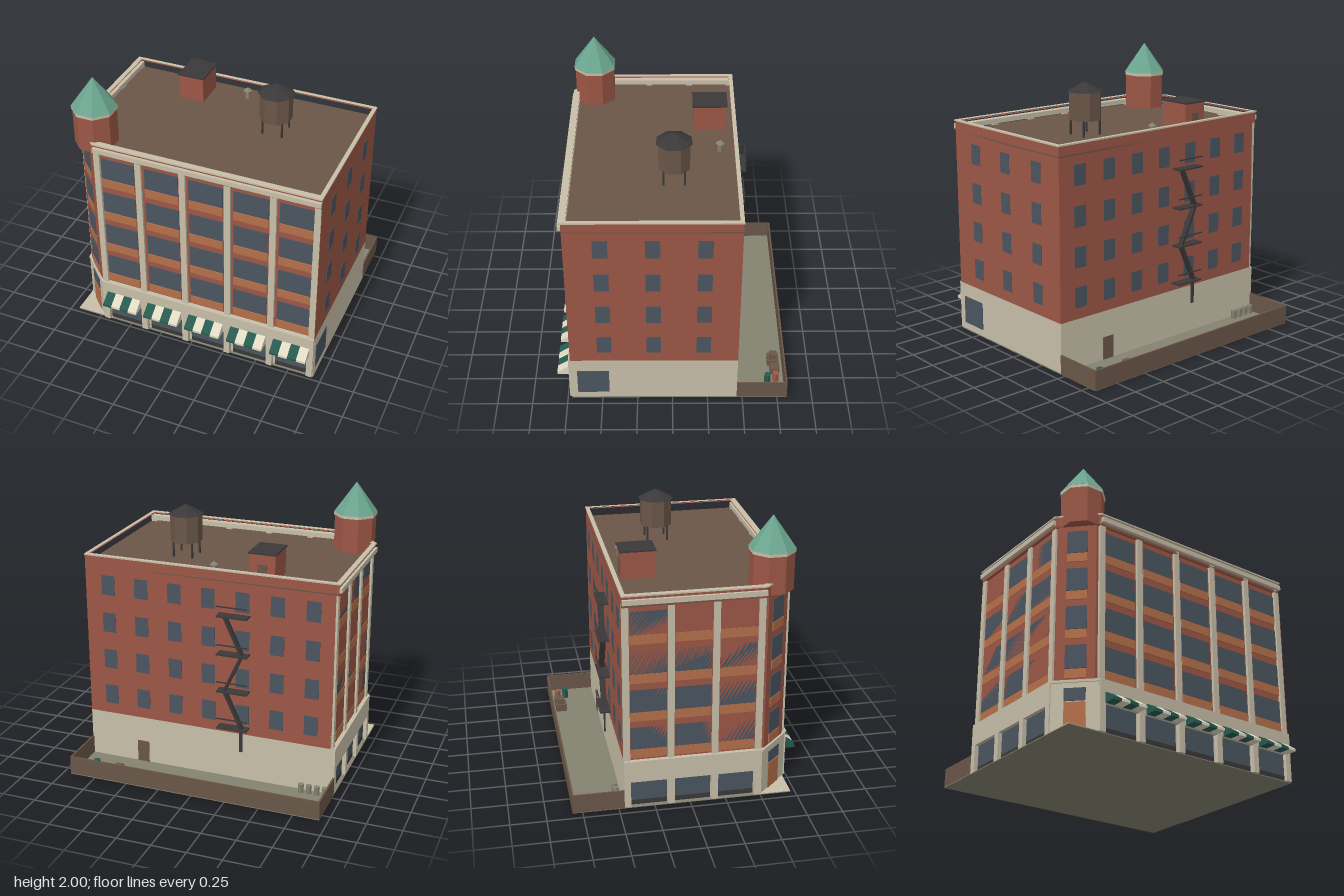
import * as THREE from 'three';

const mat = (name, color) => {
  const m = new THREE.MeshStandardMaterial({ color });
  m.name = name;
  return m;
};

export function createModel() {
  const brick = mat('brick', 0x9c5746), stone = mat('limestone', 0xc8bfa9);
  const terracotta = mat('terracotta', 0xb5704a), glass = mat('window slate', 0x4b5560);
  const brown = mat('brown', 0x6a5648), iron = mat('dark iron', 0x3a3838);
  const copper = mat('copper green', 0x6ba58f), green = mat('awning green', 0x27594e);
  const cream = mat('awning cream', 0xdfd8c2), grey = mat('yard grey', 0x84826f);

  const model = new THREE.Group();
  model.name = 'cornerBuilding';

  const group = (name, parent = model) => {
    const g = new THREE.Group();
    g.name = name;
    parent.add(g);
    return g;
  };
  const add = (parent, name, geo, material, x = 0, y = 0, z = 0) => {
    const m = new THREE.Mesh(geo, material);
    m.name = name;
    m.position.set(x, y, z);
    parent.add(m);
    return m;
  };
  // Box given by its extents
  const box = (parent, name, material, x0, x1, y0, y1, z0, z1) =>
    add(parent, name, new THREE.BoxGeometry(x1 - x0, y1 - y0, z1 - z0), material,
      (x0 + x1) / 2, (y0 + y1) / 2, (z0 + z1) / 2);
  // Faceted drum or cone with flats facing the axes
  const drum = (parent, name, material, rTop, rBottom, y0, y1, x, z, sides = 8) => {
    const g = new THREE.CylinderGeometry(rTop, rBottom, y1 - y0, sides).rotateY(Math.PI / sides).toNonIndexed();
    g.computeVertexNormals();
    return add(parent, name, g, material, x, (y0 + y1) / 2, z);
  };
  // Vertical prism over an (x, z) outline, optionally hollow
  const flip = pts => pts.map(([x, z]) => new THREE.Vector2(x, -z));
  const prism = (parent, name, material, pts, y0, y1, hole) => {
    const s = new THREE.Shape(flip(pts));
    if (hole) s.holes.push(new THREE.Path(flip(hole)));
    const g = new THREE.ExtrudeGeometry(s, { depth: y1 - y0, bevelEnabled: false }).rotateX(-Math.PI / 2);
    return add(parent, name, g, material, 0, y0, 0);
  };

  const floors = [0.44, 0.72, 1.002, 1.285];
  const roofY = 1.5;

  // Ground slab and pavement at the cut corner
  box(model, 'groundSlab', grey, -0.94, 0.94, 0, 0.006, -0.82, 0.72);
  prism(model, 'cornerPavement', stone, [[-0.94, 0.45], [-0.65, 0.717], [-0.94, 0.717]], 0.006, 0.01);

  // Main body: stone ground floor, brick floors above, street sides recessed behind the piers
  const core = [[-0.91, -0.46], [0.935, -0.46], [0.935, 0.72], [0.93, 0.72], [0.93, 0.7], [-0.73, 0.7], [-0.91, 0.52]];
  const outer = [[-0.93, -0.46], [0.935, -0.46], [0.935, 0.72], [-0.71, 0.72], [-0.93, 0.5]];
  const inner = [[-0.905, -0.435], [0.91, -0.435], [0.91, 0.69], [-0.7, 0.69], [-0.905, 0.485]];
  const rim = [[-0.94, -0.464], [0.938, -0.464], [0.938, 0.735], [-0.71, 0.735], [-0.94, 0.505]];
  prism(model, 'groundFloor', stone, core, 0.006, 0.36);
  prism(model, 'brickBody', brick, core, 0.36, 1.49);
  prism(model, 'roofDeck', brown, outer, 1.49, roofY);
  prism(model, 'parapet', brick, outer, 1.488, 1.565, inner);
  prism(model, 'coping', stone, rim, 1.565, 1.575, inner);

  // Street facade; local z = 0 is the pier face, local x runs along the wall
  const facade = (name, piers, bays, from, to) => {
    const f = group(name);
    for (const [a, b] of piers) {
      box(f, 'pier', stone, a, b, 0.36, 1.51, -0.03, 0);
      box(f, 'groundPier', stone, a, b, 0.006, 0.36, -0.03, 0.015);
    }
    box(f, 'lintelBand', stone, from, to, 0.2, 0.36, -0.03, 0.015);
    box(f, 'cornice', stone, from, to, 1.51, 1.545, -0.03, 0.024);
    for (const c of bays) {
      const a = c - 0.125, b = c + 0.125;
      box(f, 'shopWindow', glass, a, b, 0.045, 0.2, -0.021, -0.012);
      box(f, 'kickPlate', iron, a, b, 0.008, 0.045, -0.021, -0.012);
      for (const y of floors) {
        box(f, 'window', glass, a, b, y, y + 0.165, -0.021, -0.015);
        box(f, 'spandrel', terracotta, a, b, y - 0.068, y - 0.003, -0.021, -0.012);
      }
    }
    return f;
  };

  const frontBays = [0, 1, 2, 3, 4].map(i => -0.538 + i * 0.3272);
  const frontPiers = [[-0.712, -0.668], ...[0, 1, 2, 3].map(i => [-0.4 + i * 0.3272, -0.355 + i * 0.3272]), [0.888, 0.932]];
  const front = facade('frontFacade', frontPiers, frontBays, -0.706, 0.934);
  front.position.z = 0.72;

  const leftPiers = [0, 1, 2, 3].map(i => [-0.46 + i * 0.305, -0.415 + i * 0.305]);
  const left = facade('leftFacade', leftPiers, [-0.285, 0.02, 0.325], -0.459, 0.502);
  left.position.x = -0.925;
  left.rotation.y = -Math.PI / 2;

  // Striped awnings over the front shops
  const profile = new THREE.Shape([[0, 0.2], [0.083, 0.2], [0.083, 0.218], [0, 0.275]].map(p => new THREE.Vector2(...p)));
  const stripeGeo = new THREE.ExtrudeGeometry(profile, { depth: 0.067, bevelEnabled: false }).rotateY(-Math.PI / 2);
  for (const c of frontBays) {
    const awning = group('awning');
    for (let i = 0; i < 4; i++)
      add(awning, 'awningStripe', stripeGeo, i % 2 ? cream : green, c - 0.067 + i * 0.067, 0, 0.735);
  }

  // Cut corner with entrance and narrow windows
  const corner = group('cornerEntrance');
  corner.position.set(-0.82, 0, 0.61);
  corner.rotation.y = -Math.PI / 4;
  box(corner, 'cornerBase', stone, -0.155, 0.155, 0.006, 0.34, -0.03, 0.006);
  box(corner, 'cornerLedge', stone, -0.158, 0.158, 0.34, 0.358, -0.03, 0.014);
  box(corner, 'door', terracotta, -0.07, 0.07, 0.008, 0.207, 0.004, 0.012);
  box(corner, 'transom', glass, -0.07, 0.07, 0.215, 0.302, 0.004, 0.012);
  for (const y of floors) {
    box(corner, 'cornerWindow', glass, -0.07, 0.07, y, y + 0.165, -0.002, 0.005);
    box(corner, 'cornerSpandrel', terracotta, -0.07, 0.07, y - 0.068, y - 0.003, -0.002, 0.007);
  }

  // Corner turret
  const turret = group('turret');
  drum(turret, 'turretBody', brick, 0.152, 0.152, 1.49, 1.755, -0.757, 0.572);
  drum(turret, 'turretRing', stone, 0.159, 0.159, 1.755, 1.777, -0.757, 0.572);
  drum(turret, 'turretRoof', copper, 0, 0.161, 1.777, 2, -0.757, 0.572);

  // Right and back windows
  const plain = group('plainWindows');
  for (const y of floors) {
    for (const z of [0.475, 0.13, -0.217])
      box(plain, 'rightWindow', glass, 0.932, 0.938, y, y + 0.145, z - 0.05, z + 0.05);
    for (let i = -3; i <= 3; i++)
      box(plain, 'backWindow', glass, i * 0.2533 - 0.05, i * 0.2533 + 0.05, y, y + 0.145, -0.463, -0.457);
  }
  box(plain, 'sideShopWindow', glass, 0.932, 0.938, 0.055, 0.26, 0.45, 0.675);
  box(plain, 'backDoor', brown, 0.475, 0.565, 0.006, 0.17, -0.464, -0.457);

  // Fire escape: landings, rails, zigzag flights and a drop ladder
  const escape = group('fireEscape');
  const landings = [0.418, 0.7, 0.98, 1.262];
  landings.forEach((y, i) => {
    box(escape, 'landing', iron, -0.31, -0.085, y - 0.005, y + 0.005, -0.538, -0.458);
    box(escape, 'rail', iron, -0.31, -0.085, y + 0.069, y + 0.077, -0.536, -0.528);
    if (i === 3) return;
    const dx = i % 2 ? -0.13 : 0.13, dy = landings[i + 1] - y;
    const flight = add(escape, 'flight', new THREE.BoxGeometry(0.02, Math.hypot(dx, dy), 0.04), iron, -0.2, y + dy / 2, -0.5);
    flight.rotation.z = -Math.atan2(dx, dy);
  });
  box(escape, 'dropLadder', iron, -0.27, -0.245, 0.24, 0.418, -0.505, -0.495);

  // Back yard wall
  const yard = group('yard');
  box(yard, 'backYardWall', brown, -0.94, 0.94, 0, 0.14, -0.82, -0.808);
  for (const s of [-1, 1])
    box(yard, 'sideYardWall', brown, s * 0.934 - 0.006, s * 0.934 + 0.006, 0, 0.14, -0.808, -0.46);

  // Yard clutter
  for (let i = 0; i < 4; i++)
    drum(yard, 'trashCan', grey, 0.022, 0.02, 0.006, 0.07, -0.885 + i * 0.0583, -0.5, 6);
  box(yard, 'largeCrate', brown, 0.547, 0.633, 0.006, 0.06, -0.783, -0.7);
  box(yard, 'stackedCrate', brown, 0.563, 0.617, 0.06, 0.1, -0.768, -0.715);
  box(yard, 'smallCrate', brown, 0.65, 0.72, 0.006, 0.06, -0.783, -0.715);
  drum(yard, 'redBarrel', brick, 0.025, 0.025, 0.006, 0.08, 0.775, -0.75, 6);
  drum(yard, 'greenBarrel', green, 0.025, 0.025, 0.006, 0.08, 0.79, -0.69, 6);

  // Roof stair house
  const house = group('stairHouse');
  box(house, 'stairHouseWalls', brick, -0.46, -0.275, roofY, 1.69, -0.388, -0.157);
  box(house, 'stairHouseRoof', iron, -0.467, -0.268, 1.69, 1.7, -0.398, -0.148);
  box(house, 'stairHouseDoor', brown, -0.4, -0.335, roofY, 1.62, -0.393, -0.386);

  // Roof vent
  const vent = group('roofVent');
  drum(vent, 'ventPipe', grey, 0.018, 0.018, roofY, 1.565, 0, -0.338);
  drum(vent, 'ventCap', grey, 0, 0.032, 1.565, 1.59, 0, -0.338);

  // Water tank on four legs
  const tank = group('waterTank');
  for (const sx of [-1, 1]) for (const sz of [-1, 1]) {
    const x = 0.34 + sx * 0.072, z = -0.013 + sz * 0.072;
    box(tank, 'tankLeg', iron, x - 0.006, x + 0.006, roofY, 1.615, z - 0.006, z + 0.006);
  }
  drum(tank, 'tankBody', brown, 0.116, 0.116, 1.61, 1.81, 0.34, -0.013);
  drum(tank, 'tankRoof', iron, 0, 0.13, 1.808, 1.878, 0.34, -0.013);

  return model;
}
